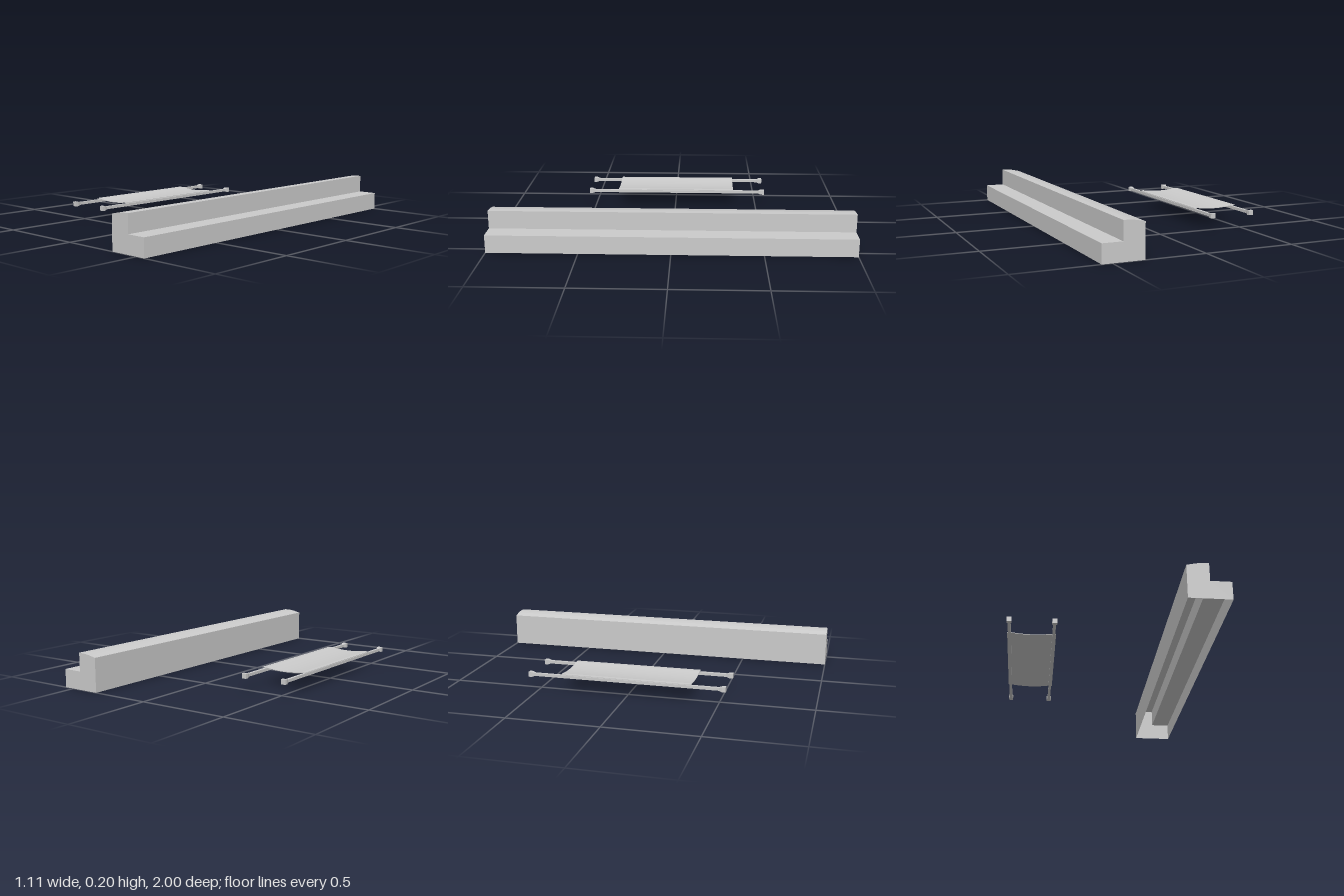
import * as THREE from 'three';

const grey = (flatShading) =>
  new THREE.MeshStandardMaterial({ color: 0xcccccc, side: THREE.DoubleSide, flatShading });

function add(group, name, geometry, flat = true) {
  const mesh = new THREE.Mesh(geometry, grey(flat));
  mesh.name = name;
  group.add(mesh);
  return mesh;
}

// Open strip: a profile in x,y swept straight along z
function sweep(points, z0, z1) {
  const pos = [];
  for (let i = 0; i < points.length - 1; i++) {
    const [ax, ay] = points[i], [bx, by] = points[i + 1];
    pos.push(ax, ay, z1, ax, ay, z0, bx, by, z0);
    pos.push(ax, ay, z1, bx, by, z0, bx, by, z1);
  }
  const g = new THREE.BufferGeometry();
  g.setAttribute('position', new THREE.Float32BufferAttribute(pos, 3));
  g.computeVertexNormals();
  return g;
}

// Square bar along z from [halfWidth, z] pairs
function squareBar(sections) {
  const pts = sections.map(([h, z]) => new THREE.Vector2(h * Math.SQRT2, z));
  return new THREE.LatheGeometry(pts, 4, Math.PI / 4).rotateX(Math.PI / 2);
}

// Stepped ledge: hollow, open underneath
function createLedge() {
  const ledge = new THREE.Group();
  ledge.name = 'steppedLedge';
  const profile = [
    [0.555, 0], [0.555, 0.1], [0.445, 0.1], [0.445, 0.201],
    [0.405, 0.2], [0.375, 0.196], [0.33, 0.186], [0.33, 0],
  ];
  add(ledge, 'ledgeWalls', sweep(profile, -1, 1));
  const end = new THREE.Shape(profile.map(([x, y]) => new THREE.Vector2(x, y)));
  add(ledge, 'frontEnd', new THREE.ShapeGeometry(end)).position.z = 1;
  const back = add(ledge, 'backEnd', new THREE.ShapeGeometry(end).scale(-1, 1, 1));
  back.rotation.y = Math.PI;
  back.position.z = -1;
  return ledge;
}

// Stretcher: two poles with flared grips and a sagging cloth
function createStretcher() {
  const stretcher = new THREE.Group();
  stretcher.name = 'stretcher';
  const half = 0.546, thin = 0.008, grip = 0.0135;
  for (const side of [-1, 1]) {
    const pole = add(stretcher, side < 0 ? 'rightPole' : 'leftPole', squareBar([
      [0, -half], [grip, -half], [grip, -half + 0.018], [thin, -half + 0.036],
      [thin, half - 0.036], [grip, half - 0.018], [grip, half], [0, half],
    ]));
    pole.position.set(side * 0.1215, 0.0875, 0);
  }

  // Cloth: flat over the poles, dipping between them
  const sag = (x) => 0.1025 - 0.0085 * Math.max(0, 1 - (x / 0.112) ** 2);
  const n = 24, w = 0.135, thickness = 0.003;
  const cloth = new THREE.Shape();
  for (let i = 0; i <= n; i++) {
    const x = -w + (2 * w * i) / n;
    if (i) cloth.lineTo(x, sag(x) - thickness);
    else cloth.moveTo(x, sag(x) - thickness);
  }
  for (let i = n; i >= 0; i--) {
    const x = -w + (2 * w * i) / n;
    cloth.lineTo(x, sag(x));
  }
  const g = new THREE.ExtrudeGeometry(cloth, { depth: 0.717, bevelEnabled: false });
  add(stretcher, 'cloth', g.translate(0, 0, -0.3545)).position.y = 0;
  stretcher.position.set(-0.42, 0, -0.007);
  return stretcher;
}

export function createModel() {
  const model = new THREE.Group();
  model.name = 'ledgeAndStretcher';
  model.add(createLedge(), createStretcher());
  return model;
}
